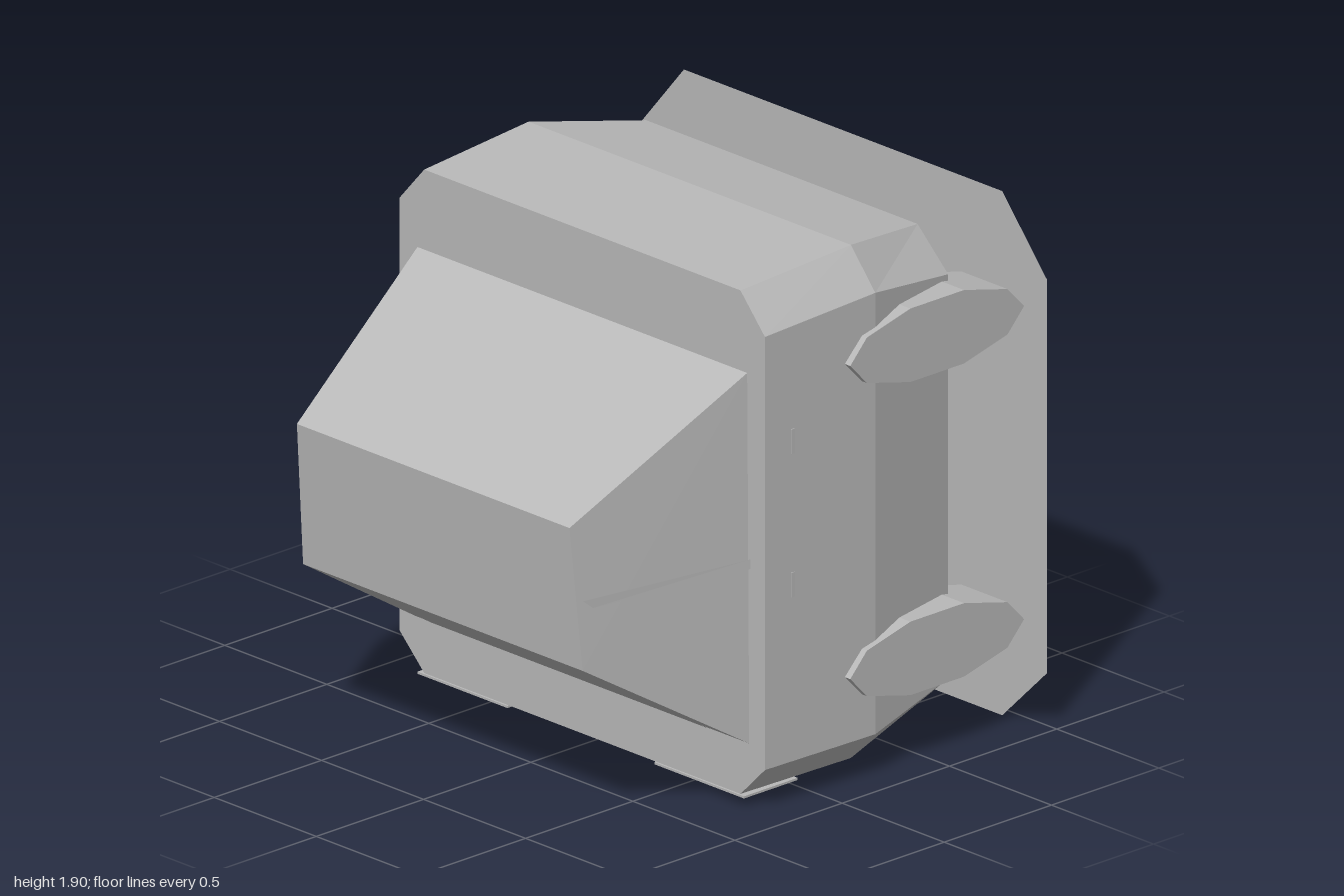
import * as THREE from 'three';

const grey = new THREE.MeshStandardMaterial({ color: 0xb8b8b8, side: THREE.DoubleSide });
grey.name = 'grey';

function flat(geometry) {
  const g = geometry.index ? geometry.toNonIndexed() : geometry;
  g.computeVertexNormals();
  return g;
}

// Builds a faceted solid through rings of [x, y, z], front to back, counter-clockwise seen from the front
function loft(rings) {
  const pos = [];
  const tri = (a, b, c) => pos.push(...a, ...b, ...c);
  const n = rings[0].length;
  for (let r = 0; r < rings.length - 1; r++) {
    const A = rings[r], B = rings[r + 1];
    for (let i = 0; i < n; i++) {
      const j = (i + 1) % n;
      tri(A[i], B[i], B[j]);
      tri(A[i], B[j], A[j]);
    }
  }
  const front = rings[0], back = rings[rings.length - 1];
  for (let i = 1; i < n - 1; i++) {
    tri(front[0], front[i], front[i + 1]);
    tri(back[0], back[i + 1], back[i]);
  }
  const g = new THREE.BufferGeometry();
  g.setAttribute('position', new THREE.Float32BufferAttribute(pos, 3));
  return flat(g);
}

// Thin four-cornered panel, counter-clockwise seen from outside, lifted off its surface
function panel(corners, lift = 0.004) {
  const [a, b, c, d] = corners.map(p => new THREE.Vector3(...p));
  const normal = b.clone().sub(a).cross(c.clone().sub(a)).normalize().multiplyScalar(lift);
  const g = new THREE.BufferGeometry().setFromPoints(
    [a, b, c, a, c, d].map(p => p.clone().add(normal)));
  return flat(g);
}

// Eight-sided ring: half width, flat half width, and bottom / lower / upper / top heights
const octagon = (w, f, y0, y1, y2, y3, z) => [
  [f, y0, z], [w, y1, z], [w, y2, z], [f, y3, z],
  [-f, y3, z], [-w, y2, z], [-w, y1, z], [-f, y0, z],
];

export function createModel() {
  const group = new THREE.Group();
  const add = (name, geometry) => {
    const mesh = new THREE.Mesh(geometry, grey);
    mesh.name = name;
    group.add(mesh);
    return mesh;
  };

  // Chamfered main body
  add('body', loft([
    octagon(0.895, 0.775, 0.04, 0.16, 1.73, 1.865, 0.26),
    octagon(0.91, 0.79, 0.04, 0.16, 1.76, 1.9, -0.24),
    octagon(0.815, 0.665, 0.1, 0.22, 1.685, 1.825, -0.67),
  ]));

  // Tapered nose
  add('nose', loft([
    [[0.685, 0.635, 0.91], [0.668, 1.16, 0.955], [-0.668, 1.16, 0.955], [-0.685, 0.635, 0.91]],
    [[0.818, 0.235, 0.26], [0.808, 1.575, 0.26], [-0.808, 1.575, 0.26], [-0.818, 0.235, 0.26]],
  ]));
  add('noseTopPanel', panel([
    [-0.6, 1.175, 0.929], [0.6, 1.175, 0.929], [0.725, 1.545, 0.31], [-0.725, 1.545, 0.31]]));
  add('noseBottomPanel', panel([
    [-0.685, 0.265, 0.309], [0.685, 0.265, 0.309], [0.6, 0.618, 0.882], [-0.6, 0.618, 0.882]]));

  // Flat back plate with cut corners
  const outline = octagon(1, 0.78, 0, 0.215, 1.64, 1.9, 0).map(([x, y]) => new THREE.Vector2(x, y));
  add('backPlate', new THREE.ShapeGeometry(new THREE.Shape(outline))).position.z = -0.955;

  // Panel under the sloping rear
  add('rearUnderPanel', panel([
    [-0.5, 0.075, -0.49], [0.5, 0.075, -0.49], [0.57, 0.054, -0.34], [-0.57, 0.054, -0.34]]));

  const podGeometry = flat(new THREE.CylinderGeometry(1, 1, 0.225, 10)
    .rotateZ(Math.PI / 2).scale(1, 0.14, 0.405));

  for (const [side, s] of [['left', 1], ['right', -1]]) {
    // Ten-sided oval pods
    for (const [level, y] of [['upper', 1.538], ['lower', 0.403]]) {
      add(`${side}${level === 'upper' ? 'Upper' : 'Lower'}Pod`, podGeometry)
        .position.set(s * 0.82, y, -0.507);
    }
    // Raised strip along the nose side
    const strip = [
      [0.823, 0.87, 0.26], [0.692, 0.855, 0.87], [0.685, 0.888, 0.91], [0.823, 0.905, 0.26],
    ].map(([x, y, z]) => [s * x, y, z]);
    add(`${side}NoseStrip`, panel(s > 0 ? strip.reverse() : strip, 0.003));
    // Narrow side slots
    for (const y of [1.32, 0.8]) {
      add(`${side}Slot`, new THREE.BoxGeometry(0.006, 0.09, 0.015)).position.set(s * 0.899, y, 0.135);
    }
    // Thin skid under the front
    add(`${side}Skid`, new THREE.BoxGeometry(0.44, 0.008, 0.25)).position.set(s * 0.58, 0.036, 0.142);
  }
  return group;
}
